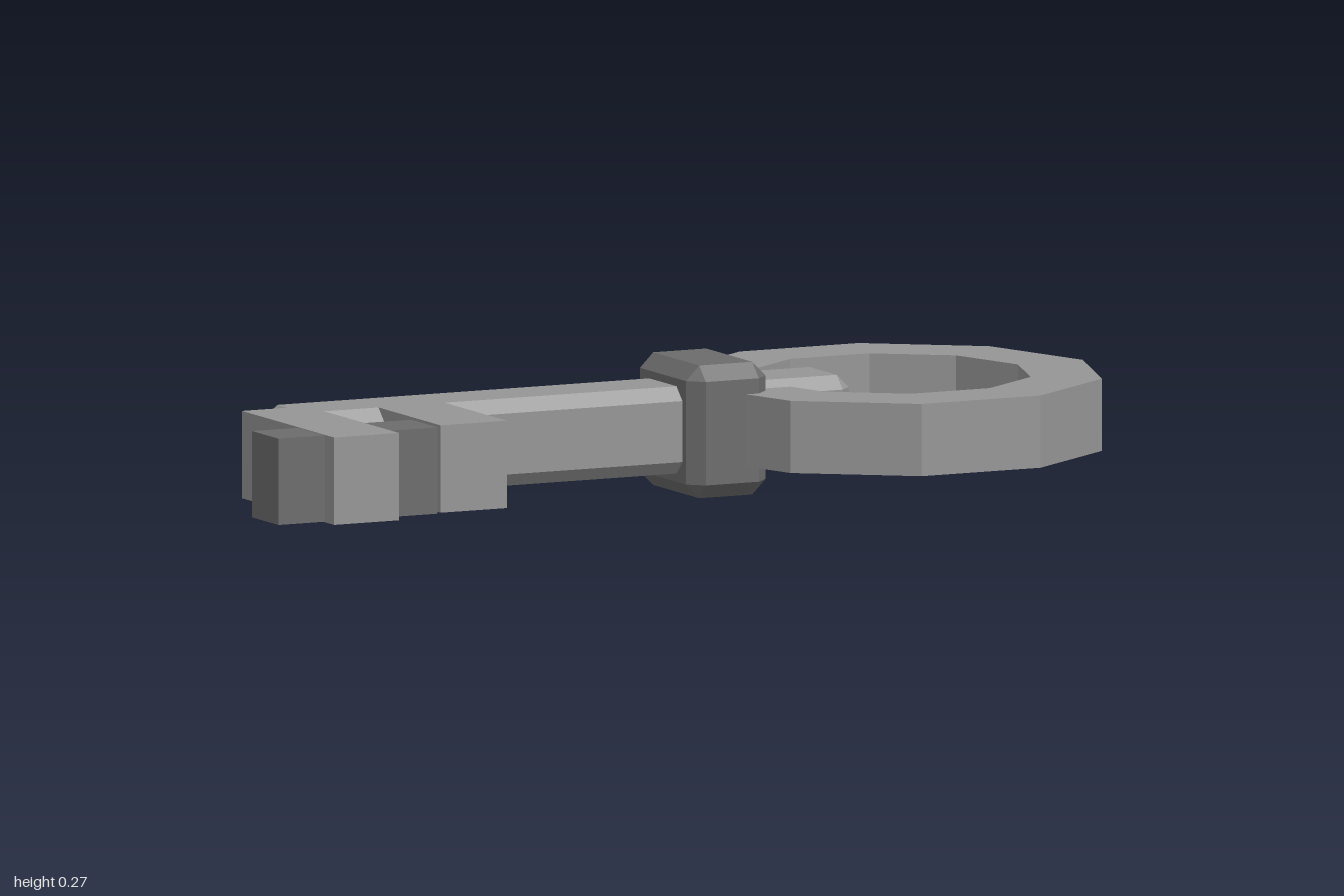
import * as THREE from 'three';
import { ConvexGeometry } from 'three/addons/geometries/ConvexGeometry.js';

// Box with all edges chamfered, given by its min and max corners
function chamferBox(min, max, bevel) {
  const half = max.map((v, i) => (v - min[i]) / 2);
  const mid = max.map((v, i) => (v + min[i]) / 2);
  const points = [];
  for (const sx of [-1, 1]) for (const sy of [-1, 1]) for (const sz of [-1, 1]) {
    const signs = [sx, sy, sz];
    for (let axis = 0; axis < 3; axis++) {
      points.push(new THREE.Vector3(...signs.map((s, i) =>
        mid[i] + s * (half[i] - (i === axis ? 0 : bevel)))));
    }
  }
  return new ConvexGeometry(points);
}

// Plain box given by its min and max corners
function block(min, max) {
  const size = max.map((v, i) => v - min[i]);
  const mid = max.map((v, i) => (v + min[i]) / 2);
  return new THREE.BoxGeometry(...size).translate(...mid);
}

// Flat ten-sided ring lying in the ground plane
function ringGeometry(outer, inner, height) {
  const corners = (r) => Array.from({ length: 10 }, (_, i) => {
    const a = i * Math.PI / 5;
    return new THREE.Vector2(r * Math.cos(a), r * Math.sin(a));
  });
  const shape = new THREE.Shape(corners(outer));
  shape.holes.push(new THREE.Path(corners(inner)));
  return new THREE.ExtrudeGeometry(shape, { depth: height, bevelEnabled: false })
    .rotateX(-Math.PI / 2);
}

export function createModel() {
  const group = new THREE.Group();
  group.name = 'key';

  const metal = new THREE.MeshStandardMaterial({ color: 0x959595, flatShading: true });
  metal.name = 'lightMetal';
  const darkMetal = new THREE.MeshStandardMaterial({ color: 0x6c6c6c, flatShading: true });
  darkMetal.name = 'darkMetal';

  const add = (name, geometry, material) => {
    const mesh = new THREE.Mesh(geometry, material);
    mesh.name = name;
    group.add(mesh);
  };

  const y0 = 0.047, y1 = 0.226;

  // Handle ring, collar and shaft
  add('handleRing', ringGeometry(0.436, 0.289, 0.148).translate(0.564, 0.063, 0), metal);
  add('shaft', chamferBox([-0.82, y0, -0.09], [0.44, y1, 0.088], 0.027), metal);
  add('collar', chamferBox([0.05, 0, -0.136], [0.23, 0.272, 0.134], 0.03), darkMetal);

  // Bit: two teeth and a cross bar through the outer one
  add('outerTooth', block([-0.895, y0, 0.018 - 0.036], [-0.748, y1, 0.403]), metal);
  add('innerTooth', block([-0.625, y0, 0], [-0.475, y1, 0.345]), metal);
  add('crossBar', block([-1, y0 + 0.001, 0.24], [-0.64, y1 - 0.001, 0.36]), darkMetal);

  return group;
}
